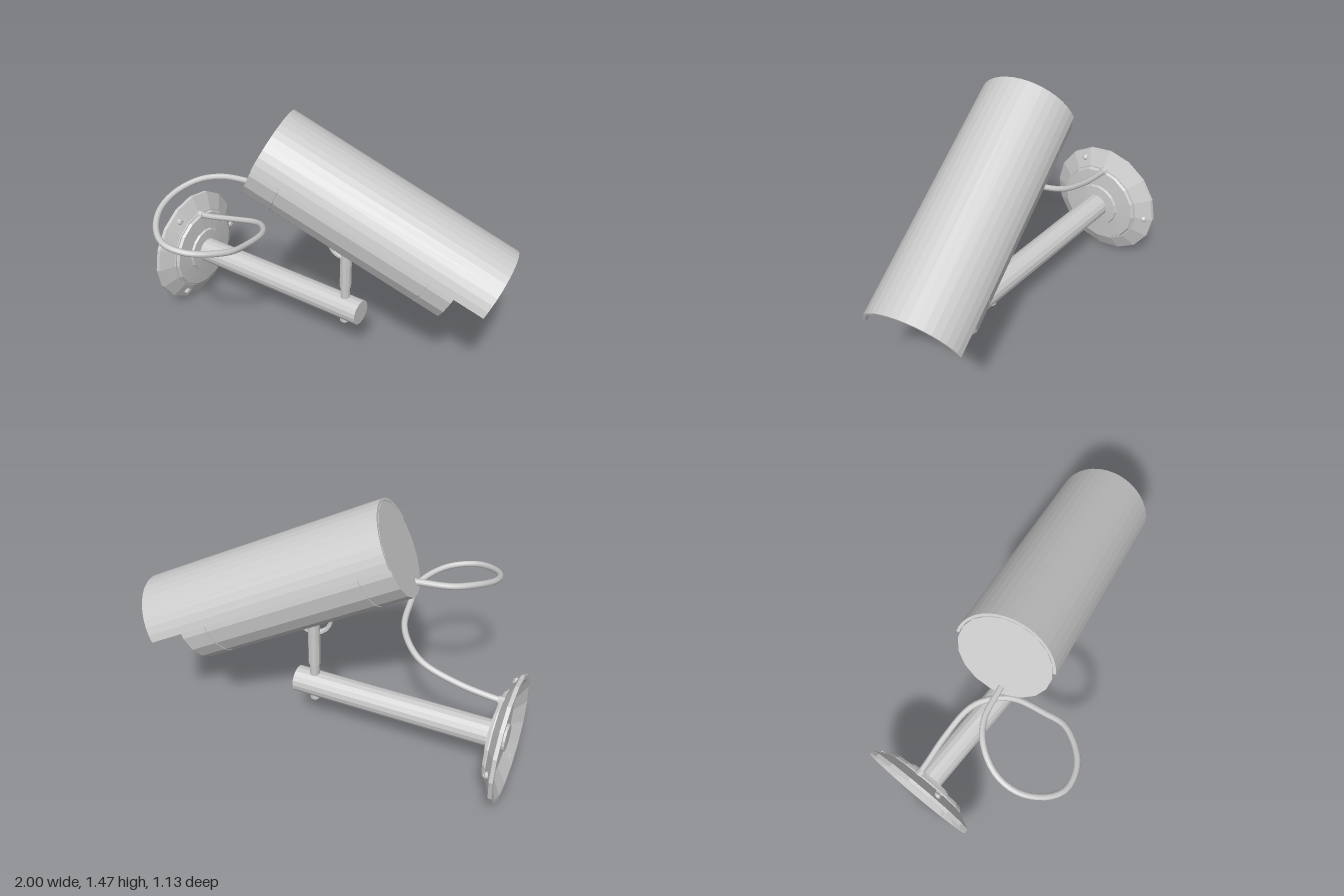
import * as THREE from 'three';

const flat = new THREE.MeshStandardMaterial({ color: 0xcccccc, flatShading: true, side: THREE.DoubleSide });
const smooth = new THREE.MeshStandardMaterial({ color: 0xcccccc });

function add(parent, name, geometry, material = flat) {
  const mesh = new THREE.Mesh(geometry, material);
  mesh.name = name;
  parent.add(mesh);
  return mesh;
}

// Profile of [distance along x, radius] pairs turned around the x axis
function turned(profile, sides) {
  const points = profile.map(([x, r]) => new THREE.Vector2(r, x));
  return new THREE.LatheGeometry(points, sides).rotateZ(-Math.PI / 2);
}

function createWallMount() {
  const mount = new THREE.Group();
  mount.name = 'wallMount';
  mount.position.set(0, 0.35, -0.14);

  // Hollow dished plate with a raised centre
  add(mount, 'wallPlate', turned([
    [-0.95, 0.06], [-0.95, 0.22], [-1, 0.32], [-1, 0.342], [-0.98, 0.342],
    [-0.937, 0.25], [-0.93, 0.25], [-0.93, 0.243], [-0.915, 0.235],
    [-0.908, 0.135], [-0.895, 0.13], [-0.89, 0.06],
  ], 16));

  // Three slotted screws around the rim
  for (let i = 0; i < 3; i++) {
    const a = Math.PI + (i * Math.PI * 2) / 3;
    const screw = new THREE.Group();
    screw.name = 'screw';
    screw.position.set(-0.96, Math.sin(a) * 0.295, Math.cos(a) * 0.295);
    add(screw, 'screwHead', turned([[-0.025, 0], [-0.025, 0.019], [0.008, 0.019], [0.016, 0.01], [0.016, 0]], 8));
    add(screw, 'screwSlot', new THREE.BoxGeometry(0.006, 0.006, 0.034)).position.x = 0.015;
    mount.add(screw);
  }

  // Horizontal arm
  add(mount, 'arm', turned([[-0.98, 0], [-0.98, 0.072], [0.21, 0.072], [0.21, 0]], 16));
  return mount;
}

function createPost() {
  const post = new THREE.Group();
  post.name = 'post';
  post.position.set(0.105, 0, -0.142);
  add(post, 'lowerPost', new THREE.CylinderGeometry(0.027, 0.027, 0.26, 10)).position.y = 0.38;
  add(post, 'upperPost', new THREE.CylinderGeometry(0.033, 0.033, 0.32, 10)).position.y = 0.65;
  add(post, 'endNut', new THREE.LatheGeometry([
    [0, 0.235], [0.018, 0.24], [0.027, 0.255], [0.027, 0.29],
  ].map(([x, y]) => new THREE.Vector2(x, y)), 8));
  return post;
}

function createCamera() {
  // Local x runs from the rear to the lens
  const camera = new THREE.Group();
  camera.name = 'cameraHead';
  camera.position.set(-0.315, 1.245, -0.03);
  camera.rotation.set(0, 0.235, -0.445, 'YZX');

  // Housing with two thin seams and a funnel at the front
  const R = 0.246, G = 0.239;
  add(camera, 'housing', turned([
    [0, 0], [0, R], [0.165, R], [0.165, G], [0.173, G], [0.173, R],
    [1.035, R], [1.035, G], [1.043, G], [1.043, R],
    [1.185, R], [1.185, R - 0.008], [1.115, 0.168], [1.115, 0],
  ], 18));
  add(camera, 'lens', turned([
    [1.11, 0.063], [1.15, 0.063], [1.155, 0.058], [1.155, 0.05], [1.147, 0.048], [1.147, 0],
  ], 10));

  // Curved sun shield over the upper half
  const edge = 0.15;
  const arc = new THREE.Shape();
  arc.absarc(0, 0, 0.262, edge, Math.PI - edge, false);
  arc.absarc(0, 0, 0.247, Math.PI - edge, edge, true);
  arc.closePath();
  add(camera, 'sunShield', new THREE.ExtrudeGeometry(arc, {
    depth: 1.355, bevelEnabled: false, curveSegments: 9,
  }).rotateY(Math.PI / 2));

  // Hanging ring under the housing
  const ring = add(camera, 'mountRing', new THREE.TorusGeometry(0.088, 0.012, 6, 16));
  ring.position.set(0.59, -0.235, 0);
  ring.scale.z = 1.6;
  return camera;
}

export function createModel() {
  const model = new THREE.Group();
  model.name = 'securityCamera';
  model.add(createWallMount(), createPost(), createCamera());

  // Looping cable from the plate to the rear of the housing
  const path = [
    [-0.95, 0.583, -0.145], [-0.86, 0.595, -0.15], [-0.7, 0.63, -0.16], [-0.51, 0.685, -0.145],
    [-0.42, 0.72, -0.09], [-0.34, 0.76, 0.02], [-0.31, 0.8, 0.2], [-0.305, 0.835, 0.33],
    [-0.38, 0.865, 0.46], [-0.46, 0.88, 0.52], [-0.57, 0.9, 0.54], [-0.66, 0.925, 0.49],
    [-0.73, 0.965, 0.38], [-0.735, 1.005, 0.25], [-0.67, 1.043, 0.12], [-0.57, 1.055, 0.04],
    [-0.38, 1.06, 0],
  ].map((p) => new THREE.Vector3(...p));
  add(model, 'cable', new THREE.TubeGeometry(new THREE.CatmullRomCurve3(path), 64, 0.017, 8), smooth);
  add(model, 'cableGland', turned([[-0.03, 0], [-0.03, 0.028], [0.025, 0.024], [0.025, 0]], 8))
    .position.set(-0.935, 0.583, -0.145);
  return model;
}
